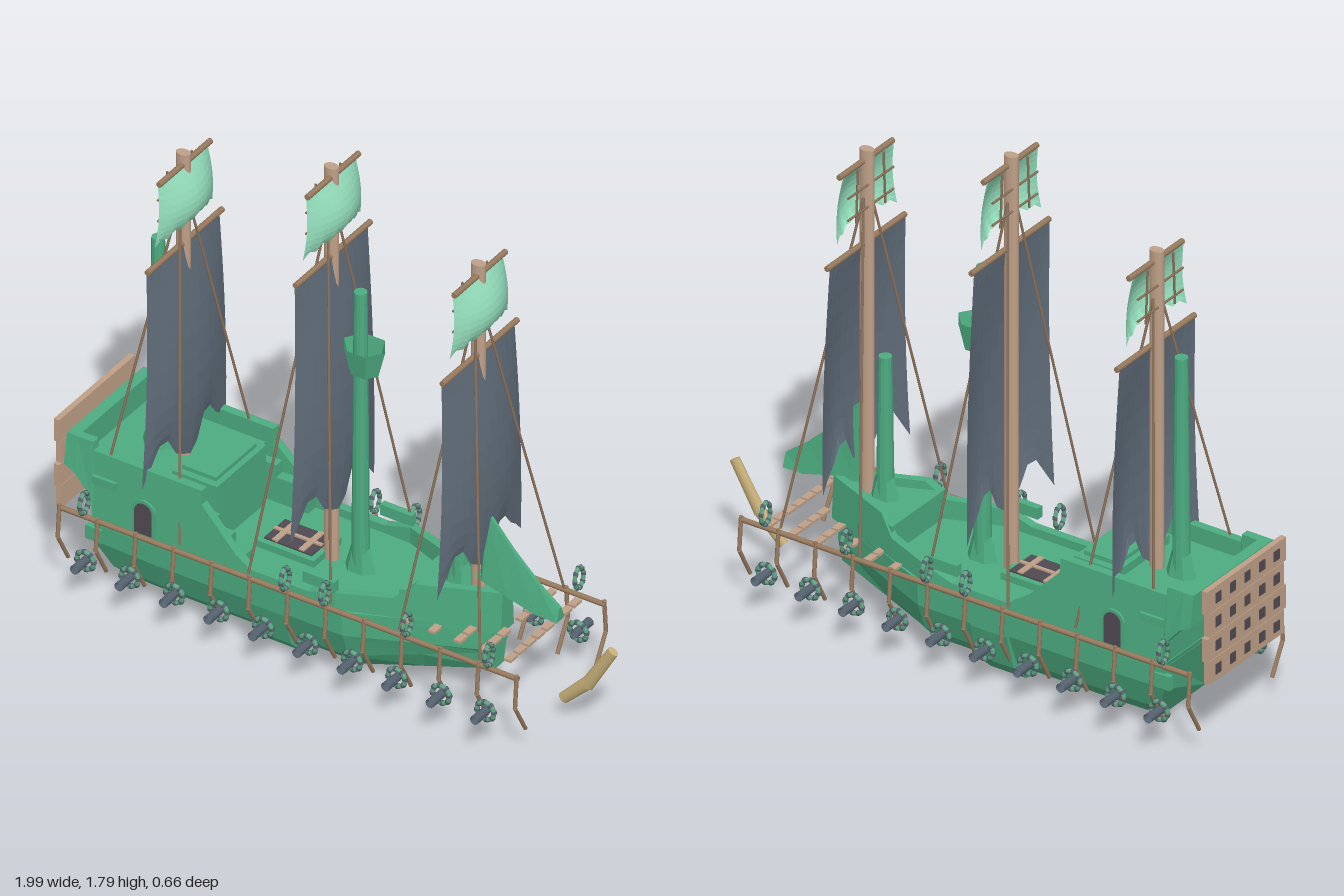
import * as THREE from 'three';

const V = (x, y, z) => new THREE.Vector3(x, y, z);
function makeMat(name, color, side = THREE.FrontSide, flatShading = true) {
  const m = new THREE.MeshStandardMaterial({ color, side, flatShading });
  m.name = name;
  return m;
}

export function createModel() {
  const root = new THREE.Group();
  root.name = 'sailingShip';
  const green = makeMat('hullGreen', 0x4cab80, THREE.DoubleSide);
  const mastWood = makeMat('mastTan', 0xbfa088, THREE.FrontSide, false);
  const wood = makeMat('railBrown', 0x987a5e, THREE.FrontSide, false);
  const rope = makeMat('ropeBrown', 0x8a7059, THREE.FrontSide, false);
  const sailDark = makeMat('slateSail', 0x616e7b, THREE.DoubleSide);
  const sailLight = makeMat('mintSail', 0x94debc, THREE.DoubleSide);
  const iron = makeMat('cannonIron', 0x55626f, THREE.DoubleSide, false);
  const dark = makeMat('windowDark', 0x504a52);
  const sprit = makeMat('bowspritTan', 0xc6ae77, THREE.FrontSide, false);
  const wreath = makeMat('wreathGreen', 0x62a585, THREE.FrontSide, false);

  const add = (name, geo, mat, x = 0, y = 0, z = 0) => {
    const m = new THREE.Mesh(geo, mat);
    m.name = name;
    m.position.set(x, y, z);
    root.add(m);
    return m;
  };
  const box = (name, mat, w, h, d, x, y, z) => add(name, new THREE.BoxGeometry(w, h, d), mat, x, y, z);
  const rod = (name, mat, a, b, r, r2 = r, sides = 10, open = false) => {
    const m = add(name, new THREE.CylinderGeometry(r2, r, a.distanceTo(b), sides, 1, open, Math.PI / 2), mat);
    m.position.copy(a).lerp(b, 0.5);
    m.quaternion.setFromUnitVectors(V(0, 1, 0), b.clone().sub(a).normalize());
    return m;
  };
  // Skin closed rings of points, with capped ends
  const loft = (name, rings, mat) => {
    const n = rings[0].length, idx = [], pos = rings.flat().flatMap(p => p.toArray());
    for (let i = 0; i < rings.length - 1; i++)
      for (let j = 0; j < n; j++) {
        const a = i * n + j, b = i * n + (j + 1) % n;
        idx.push(a, b, a + n, b, b + n, a + n);
      }
    const last = (rings.length - 1) * n;
    for (let j = 1; j < n - 1; j++) idx.push(0, j + 1, j, last, last + j, last + j + 1);
    const g = new THREE.BufferGeometry();
    g.setAttribute('position', new THREE.Float32BufferAttribute(pos, 3));
    g.setIndex(idx);
    g.computeVertexNormals();
    return add(name, g, mat);
  };
  const shapeOf = pts => new THREE.Shape(pts.map(p => new THREE.Vector2(...p)));
  const halfWidth = x => x < 0.1 ? 0.235 : THREE.MathUtils.lerp(0.235, 0.035, (x - 0.1) / 0.48);

  // Lower hull, with a raked stern and rising bow
  const section = (x, hw, yb, grow = 0, rake = 0) => {
    const half = [[0.53, yb - grow], [0.84, yb + 0.07 - grow], [1, 0.2], [1.01, 0.29]]
      .map(([k, y]) => V(x - rake * Math.min(1, (y - yb) / 0.17), y, hw * k + grow * 0.4));
    return [...half, ...half.map(p => V(p.x, p.y, -p.z)).reverse()];
  };
  loft('lowerHull', [section(-0.75, 0.225, 0.03, 0, 0.085), section(-0.6, 0.235, 0.03),
    section(0.11, 0.235, 0.03), section(0.33, 0.14, 0.075), section(0.55, 0.045, 0.12)], green);
  loft('keelBand', [section(-0.24, 0.235, 0.03, 0.028), section(-0.1, 0.235, 0.03, 0.028)], green);

  // Bulwarks: x, bottom, top
  const bulwark = [[-0.94, 0.46, 0.57], [-0.9, 0.44, 0.57], [-0.84, 0.37, 0.57], [-0.838, 0.33, 0.54],
    [-0.83, 0.27, 0.54], [-0.43, 0.27, 0.54], [-0.428, 0.27, 0.49], [-0.3, 0.27, 0.36], [-0.24, 0.27, 0.32],
    [-0.02, 0.27, 0.32], [0.08, 0.27, 0.35], [0.26, 0.27, 0.36], [0.32, 0.27, 0.42], [0.58, 0.27, 0.42]];
  for (const s of [1, -1])
    loft('bulwark', bulwark.map(([x, b, t]) => {
      const w = halfWidth(x) + 0.002, top = w - (t - 0.27) * 0.06, inn = Math.max(0, top - 0.03);
      return [V(x, b, s * w), V(x, t, s * top), V(x, t, s * inn), V(x, b, s * inn)];
    }), green);

  // Quarterdeck, stern rail, cabin, foredeck
  const quarter = new THREE.ExtrudeGeometry(shapeOf([[-0.92, 0.47], [-0.9, 0.44], [-0.84, 0.38], [-0.83, 0.27],
    [-0.46, 0.27], [-0.46, 0.48], [-0.92, 0.48]]), { depth: 0.42, bevelEnabled: false });
  add('quarterdeck', quarter, green, 0, 0, -0.21);
  box('sternRail', green, 0.04, 0.11, 0.43, -0.92, 0.515, 0);
  box('cabin', green, 0.17, 0.22, 0.28, -0.51, 0.4, 0);
  box('cabinRoof', green, 0.13, 0.02, 0.23, -0.51, 0.515, 0);
  const fore = new THREE.ExtrudeGeometry(shapeOf([[0.27, -0.15], [0.57, -0.03], [0.57, 0.03], [0.27, 0.15]]),
    { depth: 0.1, bevelEnabled: false }).rotateX(Math.PI / 2);
  add('foredeck', fore, green, 0, 0.39, 0);

  // Cargo hatch
  box('hatchFrame', green, 0.22, 0.03, 0.16, -0.21, 0.3, 0);
  box('hatchOpening', dark, 0.18, 0.008, 0.12, -0.21, 0.317, 0);
  for (const x of [-0.26, -0.16]) box('hatchBar', mastWood, 0.02, 0.008, 0.12, x, 0.322, 0);
  box('hatchBar', mastWood, 0.18, 0.008, 0.012, -0.21, 0.323, 0);

  // Arched side windows, mouldings and steps
  const arch = (w, h) => {
    const s = new THREE.Shape();
    s.moveTo(-w, 0).lineTo(w, 0).lineTo(w, h - w).absarc(0, h - w, w, 0, Math.PI, false);
    return new THREE.ExtrudeGeometry(s, { depth: 0.008, bevelEnabled: false, curveSegments: 6 });
  };
  for (const s of [1, -1]) {
    add('windowFrame', arch(0.045, 0.13), green, -0.64, 0.3, s * 0.233 - 0.004);
    add('sideWindow', arch(0.032, 0.115), dark, -0.64, 0.305, s * 0.237 - 0.004);
    box('sternMoulding', green, 0.09, 0.03, 0.02, -0.79, 0.44, s * 0.228);
    box('sternMoulding', green, 0.06, 0.05, 0.02, -0.83, 0.23, s * 0.226);
    box('sideMoulding', green, 0.12, 0.04, 0.025, 0.02, 0.37, s * 0.222);
    for (let i = 0; i < 3; i++)
      box('step', green, 0.06, 0.15 - i * 0.045, 0.05, -0.43 + i * 0.06, 0.28 + (0.15 - i * 0.045) / 2, s * 0.185);
  }

  // Stern gallery of uneven planks with small dark panes
  for (let r = 0; r < 4; r++) {
    box('galleryPlank', mastWood, 0.02, 0.084, 0.41 + (r % 2) * 0.025, -0.983, 0.3 + r * 0.086, -0.003);
    for (let c = 0; c < 5; c++) box('galleryPane', dark, 0.004, 0.036, 0.03, -0.994, 0.3 + r * 0.086, -0.16 + c * 0.08);
  }

  // Green posts: x, base, top
  for (const [x, y0, y1] of [[-0.74, 0.48, 1.27], [0.025, 0.29, 1.35], [0.4, 0.38, 0.9]]) {
    rod('greenPost', green, V(x, y0, 0), V(x, y1, 0), 0.03, 0.022, 12);
    rod('postFoot', green, V(x, y0, 0), V(x, y0 + 0.08, 0), 0.058, 0.036, 6).scale.z = 0.65;
  }
  rod('crowsNest', green, V(0.04, 1.05, 0), V(0.04, 1.15, 0), 0.052, 0.078, 6, true).scale.z = 0.85;
  rod('nestFloor', green, V(0.04, 1.05, 0), V(0.04, 1.06, 0), 0.052, 0.053, 6).scale.z = 0.85;

  // Billowing sail with a torn lower edge
  const mainTears = [0, 0.35, 0.6, 1, 1, 0.35, 0.1, 0.25, 0.45, 1, 1, 0.5, 0];
  const topTears = [0, 0.5, 0.3, 0.9, 0.7, 1, 0.65, 0.95, 0.5, 0.85, 0.3, 0.6, 0];
  const sail = (name, mat, x0, top, bottom, w0, w1, bulge, tear, tears) => {
    const g = new THREE.PlaneGeometry(1, 1, 12, 10), p = g.attributes.position;
    for (let i = 0; i < p.count; i++) {
      const u = p.getX(i) * 2, v = 0.5 - p.getY(i), c = i % 13;
      const y = top - v * (top - bottom - tear * tears[c] * v ** 4);
      p.setXYZ(i, x0 + bulge * Math.sin(Math.PI * v * 0.88) * (1 - 0.75 * u * u) - 0.012 * u * u,
        y, u * THREE.MathUtils.lerp(w0, w1, v));
    }
    g.computeVertexNormals();
    add(name, g, mat);
  };

  // Masts: x, foot, top, main yard, topsail yard, rope landings
  for (const [x, y0, y1, yard, topYard, land] of [
    [-0.645, 0.47, 1.63, 1.29, 1.59, [[-0.78, 0.54, 0.21], [-0.5, 0.32, 0.24]]],
    [-0.085, 0.28, 1.79, 1.455, 1.755, [[-0.24, 0.31, 0.24], [0.07, 0.31, 0.24]]],
    [0.47, 0.38, 1.63, 1.29, 1.59, [[0.33, 0.31, 0.24], [0.635, 0.31, 0.24]]]]) {
    rod('mast', mastWood, V(x, y0, 0), V(x, y1, 0), 0.026, 0.026, 14).scale.z = 0.7;
    rod('mainYard', wood, V(x + 0.005, yard, -0.215), V(x + 0.005, yard, 0.215), 0.01);
    rod('topYard', wood, V(x + 0.005, topYard, -0.148), V(x + 0.005, topYard, 0.148), 0.01);
    sail('mainSail', sailDark, x + 0.01, yard, 0.475, 0.208, 0.24, 0.048, 0.125, mainTears);
    sail('topSail', sailLight, x + 0.007, topYard, topYard - 0.235, 0.14, 0.165, 0.055, 0.035, topTears);
    // Lattice of ropes behind the topsail
    for (const y of [0.08, 0.16])
      rod('sailRope', rope, V(x - 0.014, topYard - y, -0.125), V(x - 0.014, topYard - y, 0.125), 0.004, 0.004, 8);
    for (const s of [1, -1]) {
      rod('sailRope', rope, V(x - 0.014, topYard, s * 0.07), V(x - 0.014, topYard - 0.19, s * 0.08), 0.004, 0.004, 8);
      for (const [lx, ly, lz] of land)
        rod('shroud', rope, V(x, topYard - 0.13, s * 0.02), V(lx, ly, s * lz), 0.0045, 0.0045, 8);
    }
  }

  // Ring bound with iron sleeves
  const boundRing = (name, R, x, y, z) => {
    const g = new THREE.Group();
    g.name = name;
    g.position.set(x, y, z);
    g.add(new THREE.Mesh(new THREE.TorusGeometry(R, 0.008, 8, 16), wreath));
    for (let i = 0; i < 8; i++) {
      const sleeve = new THREE.Mesh(new THREE.TorusGeometry(R, 0.0095, 8, 2, 0.3), iron);
      sleeve.rotation.z = i * Math.PI / 4;
      g.add(sleeve);
    }
    g.children.forEach((m, i) => { m.name = i ? 'ringSleeve' : 'ringBody'; });
    root.add(g);
    return g;
  };

  // Outer rails, bent brackets, cannons and rings on both sides
  for (const s of [1, -1]) {
    rod('rail', wood, V(-0.95, 0.297, s * 0.248), V(0.785, 0.297, s * 0.248), 0.009);
    for (let i = 0; i < 13; i++) {
      const x = -0.948 + i * 0.144;
      rod('bracket', wood, V(x, 0.31, s * 0.25), V(x, 0.19, s * 0.26), 0.007);
      rod('bracketFoot', wood, V(x, 0.19, s * 0.26), V(x, 0.08, s * 0.2), 0.007);
    }
    for (let i = 0; i < 10; i++) {
      const x = -0.84 + i * 0.168;
      rod('cannon', iron, V(x, 0.143, s * 0.24), V(x, 0.143, s * 0.33), 0.014, 0.016, 12, true);
      boundRing('cannonRing', 0.032, x, 0.143, s * 0.265);
    }
    for (const x of [-0.85, -0.09, 0.06, 0.37, 0.68]) {
      const ring = boundRing('railRing', 0.038, x, 0.355, s * 0.258);
      ring.rotation.y = Math.PI / 2;
      ring.scale.x = 0.65;
    }
  }

  // Loose planks between the rails at the bow
  for (const x of [0.215, 0.31, 0.408, 0.505, 0.6, 0.695])
    for (let i = 0; i < 8; i++) {
      const z = -0.21 + i * 0.052;
      if (Math.abs(z) > halfWidth(x)) box('bowPlank', mastWood, 0.026, 0.01, 0.042, x, 0.292, z);
    }

  // Bow fin with a hollow upper edge: x, bottom, top, half width
  loft('bowFin', [[0.48, 0.45, 0.47, 0.035], [0.505, 0.443, 0.695, 0.034], [0.6, 0.415, 0.585, 0.032],
    [0.7, 0.385, 0.488, 0.027], [0.78, 0.38, 0.427, 0.022]].map(([x, b, t, w]) =>
    [V(x, b, w), V(x, t, 0.006), V(x, t, -0.006), V(x, b, -w)]), green);

  // Bent bowsprit
  rod('bowspritLower', sprit, V(0.79, 0.085, 0), V(0.885, 0.18, 0), 0.019, 0.023, 12).scale.z = 0.7;
  rod('bowspritUpper', sprit, V(0.88, 0.17, 0), V(0.98, 0.335, 0), 0.023, 0.019, 12).scale.z = 0.7;

  return root;
}
